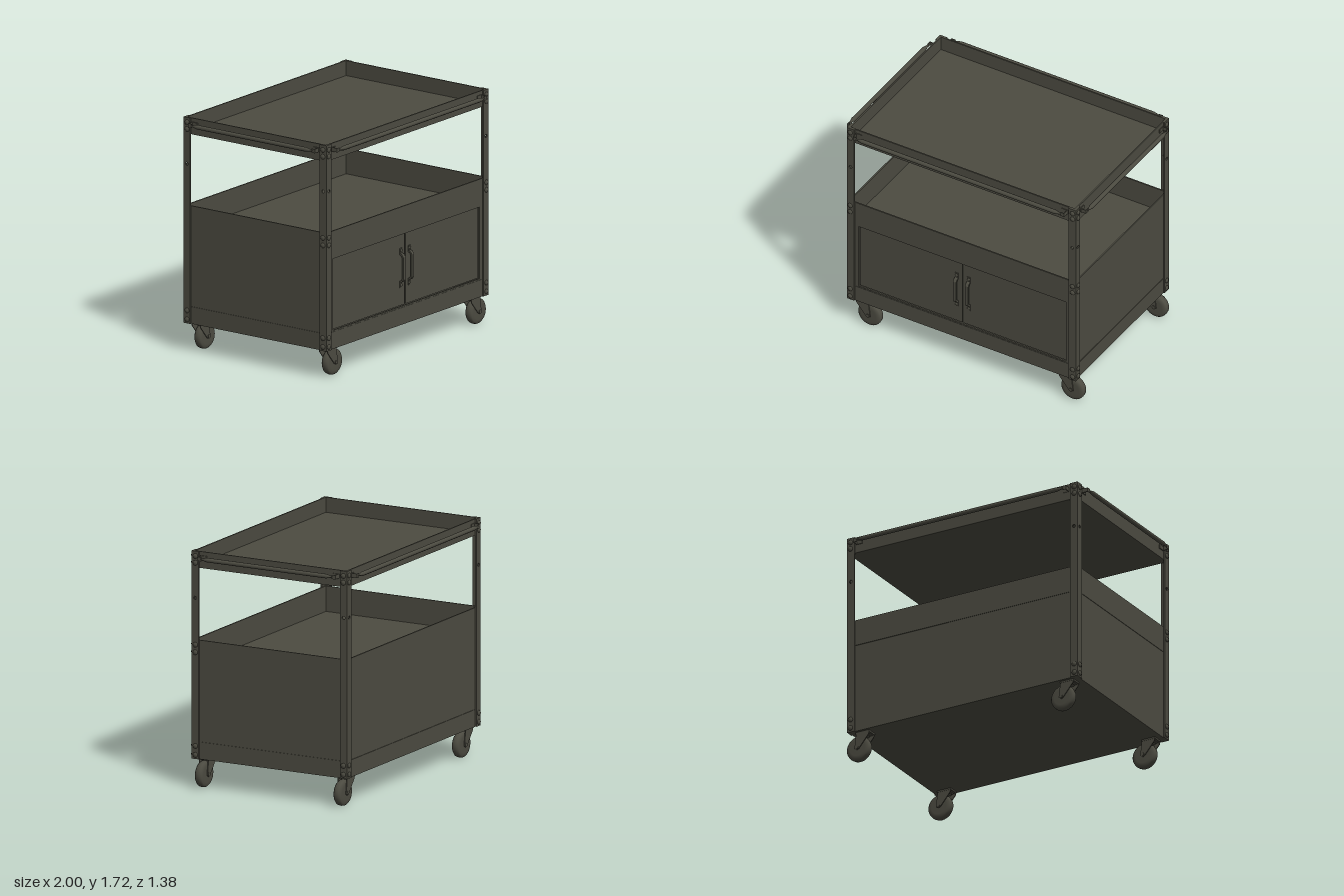
import * as THREE from 'three';

const steel = new THREE.MeshStandardMaterial({ color: 0x4c4b41 });
steel.name = 'olive steel';

function add(parent, name, geo, x = 0, y = 0, z = 0) {
  const m = new THREE.Mesh(geo, steel);
  m.name = name;
  m.position.set(x, y, z);
  parent.add(m);
  return m;
}
const box = (w, h, d) => new THREE.BoxGeometry(w, h, d);

// flat plate in XY, centred, with optional round or rectangular holes
function plate(w, h, depth, holes = []) {
  const s = new THREE.Shape();
  s.moveTo(-w / 2, -h / 2).lineTo(w / 2, -h / 2).lineTo(w / 2, h / 2).lineTo(-w / 2, h / 2).closePath();
  s.holes.push(...holes);
  return new THREE.ExtrudeGeometry(s, { depth, bevelEnabled: false, curveSegments: 8 }).translate(0, 0, -depth / 2);
}

// open tray with a floor at its bottom
function tray(name, y0, y1) {
  const g = new THREE.Group();
  g.name = name;
  const h = y1 - y0, y = (y0 + y1) / 2, W = 0.935, D = 0.625, t = 0.01;
  add(g, 'trayFloor', box(2 * W - t, t, 2 * D - t), 0, y0 + t / 2, 0);
  for (const s of [-1, 1]) {
    add(g, 'trayLongWall', box(2 * W, h, t), 0, y, s * (D - t / 2));
    add(g, 'trayShortWall', box(t, h, 2 * D - 2 * t), s * (W - t / 2), y, 0);
  }
  return g;
}

// domed bolt head whose axis points along +z
function boltGeometry() {
  const p = [[0.019, 0], [0.018, 0.005], [0.012, 0.010], [0, 0.012]].map(a => new THREE.Vector2(...a));
  return new THREE.LatheGeometry(p, 12).rotateX(Math.PI / 2);
}

// angle-iron post with bolts on both outer faces
function post(sx, sz) {
  const g = new THREE.Group();
  g.name = 'cornerPost';
  const hole = new THREE.Path().absarc(0, 1.38 - 0.965, 0.012, 0, Math.PI * 2, true);
  const strip = plate(0.06, 1.51, 0.01, [hole]);
  add(g, 'postFrontLeg', strip, sx * 0.915, 0.965, sz * 0.63);
  add(g, 'postSideLeg', strip, sx * 0.94, 0.965, sz * 0.605).rotation.y = Math.PI / 2;
  const rows = [0.24, 0.305, 1.635, 1.685];
  if (sz > 0) rows.push(0.985, 1.04);
  for (const y of rows) {
    add(g, 'bolt', boltGeometry(), sx * 0.918, y, sz * 0.635).rotation.y = sz > 0 ? 0 : Math.PI;
    add(g, 'bolt', boltGeometry(), sx * 0.945, y, sz * 0.603).rotation.y = sx * Math.PI / 2;
  }
  return g;
}

// tapered rail along x, held by bent straps that reach back to the tray
function rail(half, reach) {
  const g = new THREE.Group();
  g.name = 'guardRail';
  const p = [[0, -half + 0.02], [0.004, -half + 0.02], [0.016, -half + 0.075],
    [0.016, half - 0.075], [0.004, half - 0.02], [0, half - 0.02]].map(a => new THREE.Vector2(...a));
  add(g, 'railBar', new THREE.LatheGeometry(p, 10).rotateZ(-Math.PI / 2));
  for (const s of [-1, 1]) {
    add(g, 'railStrap', box(0.005, 0.03, reach), s * half, 0, -reach / 2);
    add(g, 'railStrapEnd', box(0.03, 0.03, 0.004), s * (half - 0.0125), 0, 0);
    add(g, 'railFoot', box(0.05, 0.03, 0.008), s * (half - 0.02), 0, -reach + 0.004);
  }
  return g;
}

// swivel caster with the wheel trailing toward +x
function caster() {
  const g = new THREE.Group();
  g.name = 'caster';
  add(g, 'casterPlate', box(0.11, 0.012, 0.08), 0, 0.204, 0);
  add(g, 'casterSwivel', new THREE.CylinderGeometry(0.03, 0.035, 0.02, 16), 0, 0.195, 0);
  const tyre = [[0, -0.03], [0.06, -0.03], [0.082, -0.028], [0.092, -0.018], [0.095, 0],
    [0.092, 0.018], [0.082, 0.028], [0.06, 0.03], [0, 0.03]].map(a => new THREE.Vector2(...a));
  add(g, 'wheel', new THREE.LatheGeometry(tyre, 32).rotateX(Math.PI / 2), 0.048, 0.095, 0);
  add(g, 'axle', new THREE.CylinderGeometry(0.014, 0.014, 0.088, 12).rotateX(Math.PI / 2), 0.048, 0.095, 0);
  // fork cheeks, tapering down to the axle
  const f = new THREE.Shape();
  f.moveTo(-0.055, 0.2).lineTo(-0.05, 0.18).lineTo(0.03, 0.085).lineTo(0.048, 0.076)
    .lineTo(0.066, 0.09).lineTo(0.052, 0.2).closePath();
  for (const s of [-1, 1]) {
    add(g, 'fork', new THREE.ExtrudeGeometry(f, { depth: 0.006, bevelEnabled: false }), 0, 0, s * 0.036 - 0.003);
  }
  add(g, 'forkCrown', box(0.09, 0.006, 0.072), 0, 0.196, 0);
  return g;
}

// C-shaped pull with a bolted foot at each end
function pull(x) {
  const g = new THREE.Group();
  g.name = 'doorHandle';
  const s = new THREE.Shape();
  const pts = [[0, 0.145], [0.006, 0.145], [0.006, 0.108], [0.022, 0.1], [0.034, 0.082],
    [0.034, -0.082], [0.022, -0.1], [0.006, -0.108], [0.006, -0.145], [0, -0.145],
    [0, -0.096], [0.014, -0.09], [0.022, -0.074], [0.022, 0.074], [0.014, 0.09], [0, 0.096]];
  s.setFromPoints(pts.map(a => new THREE.Vector2(...a)));
  const geo = new THREE.ExtrudeGeometry(s, { depth: 0.026, bevelEnabled: false })
    .translate(0, 0, -0.013).rotateY(-Math.PI / 2);
  add(g, 'handleGrip', geo);
  for (const y of [-0.127, 0.127]) add(g, 'handleBolt', boltGeometry().scale(0.6, 0.6, 0.6), 0, y, 0.006);
  g.position.set(x, 0.625, 0.612);
  return g;
}

export function createModel() {
  const cart = new THREE.Group();
  cart.name = 'utilityCart';

  cart.add(tray('topTray', 1.6, 1.72), tray('middleTray', 0.88, 1.075), tray('bottomTray', 0.21, 0.335));

  // cabinet walls, set in slightly from the trays
  const cabinet = new THREE.Group();
  cabinet.name = 'cabinet';
  add(cabinet, 'backPanel', box(1.86, 0.545, 0.01), 0, 0.6075, -0.616);
  for (const s of [-1, 1]) add(cabinet, 'sidePanel', box(0.01, 0.545, 1.23), s * 0.926, 0.6075, 0);
  const opening = new THREE.Path();
  opening.moveTo(-0.856, -0.2625).lineTo(-0.856, 0.2625).lineTo(0.856, 0.2625).lineTo(0.856, -0.2625).closePath();
  add(cabinet, 'doorFrame', plate(1.86, 0.545, 0.012, [opening]), 0, 0.6075, 0.617);
  for (const s of [-1, 1]) {
    add(cabinet, 'door', box(0.846, 0.517, 0.012), s * 0.428, 0.6075, 0.607);
    cabinet.add(pull(s * 0.05));
  }
  cart.add(cabinet);

  for (const sx of [-1, 1]) for (const sz of [-1, 1]) {
    cart.add(post(sx, sz));
    const c = caster();
    c.position.set(sx * 0.838, 0, sz * 0.565);
    cart.add(c);
  }

  // guard rails on all four sides of the top tray
  for (const s of [-1, 1]) {
    const long = rail(0.87, 0.05);
    long.position.set(0, 1.677, s * 0.672);
    long.rotation.y = s > 0 ? 0 : Math.PI;
    const short = rail(0.56, 0.049);
    short.position.set(s * 0.984, 1.677, 0);
    short.rotation.y = s * Math.PI / 2;
    cart.add(long, short);
  }
  return cart;
}
